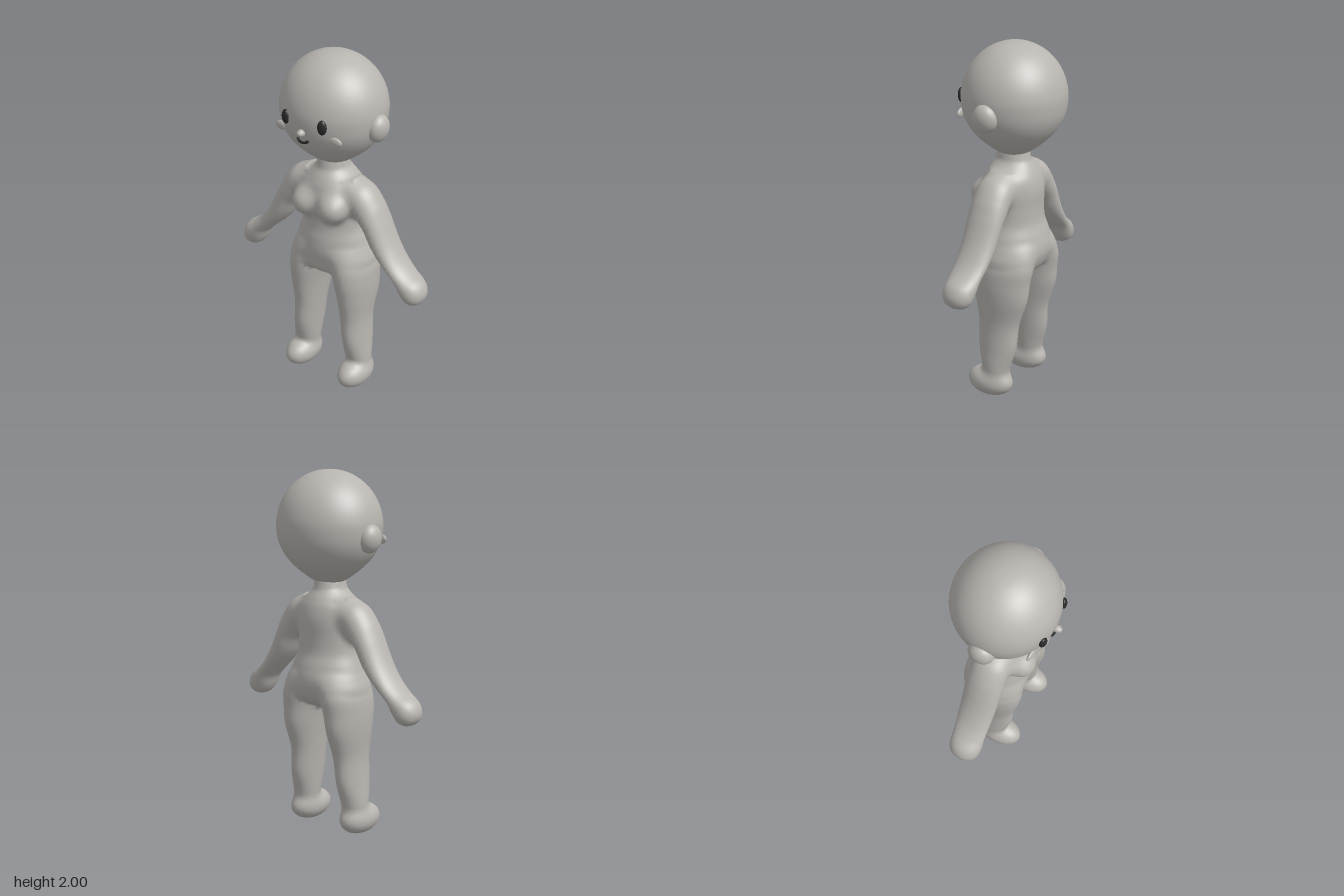
import * as THREE from 'three';

const skin = new THREE.MeshStandardMaterial({ color: 0xb8b5b0 });
skin.name = 'warm grey skin';
const dark = new THREE.MeshStandardMaterial({ color: 0x2a2a2a });
dark.name = 'dark features';

// Cross-sections: [position along axis, centre offset, half width, centre z, half depth]
const TORSO = [
  [0.71, 0, 0.05, -0.02, 0.07], [0.75, 0, 0.16, -0.02, 0.145], [0.82, 0, 0.23, -0.03, 0.175],
  [0.88, 0, 0.225, -0.03, 0.182], [0.95, 0, 0.205, -0.025, 0.172], [1.02, 0, 0.183, -0.02, 0.155],
  [1.1, 0, 0.18, -0.018, 0.152], [1.2, 0, 0.185, -0.012, 0.16], [1.27, 0, 0.18, -0.01, 0.148],
  [1.32, 0, 0.13, -0.01, 0.125], [1.36, 0, 0.09, -0.01, 0.1], [1.39, 0, 0.082, -0.01, 0.093],
  [1.46, 0, 0.07, -0.01, 0.08],
];
const LEG = [
  [0.08, 0.185, 0.06, -0.01, 0.07], [0.17, 0.182, 0.071, -0.008, 0.08], [0.3, 0.171, 0.073, -0.011, 0.112],
  [0.45, 0.16, 0.078, -0.015, 0.122], [0.6, 0.157, 0.095, -0.027, 0.157], [0.7, 0.15, 0.106, -0.025, 0.17],
  [0.8, 0.135, 0.112, -0.03, 0.176], [0.9, 0.1, 0.1, -0.03, 0.15], [0.97, 0.08, 0.03, -0.03, 0.06],
];
const ARM = [
  [-0.1, 0, 0.04, -0.01, 0.06], [-0.02, 0, 0.08, -0.01, 0.1], [0.08, 0.004, 0.08, -0.01, 0.105],
  [0.165, 0, 0.069, -0.01, 0.104], [0.25, -0.015, 0.065, -0.009, 0.102], [0.33, -0.021, 0.057, -0.008, 0.099],
  [0.42, -0.015, 0.047, -0.005, 0.095], [0.49, -0.004, 0.049, -0.002, 0.092], [0.56, 0.002, 0.068, 0, 0.091],
  [0.61, 0, 0.063, 0, 0.081], [0.643, 0, 0.038, 0, 0.052], [0.655, 0, 0.008, 0, 0.012],
];

// Smooth (Hermite) interpolation of one section from a list of sections
function sectionAt(rows, t) {
  let i = 0;
  while (i < rows.length - 2 && t > rows[i + 1][0]) i++;
  const a = rows[i], b = rows[i + 1];
  const p = rows[Math.max(i - 1, 0)], q = rows[Math.min(i + 2, rows.length - 1)];
  const h = b[0] - a[0], s = (t - a[0]) / h, s2 = s * s, s3 = s2 * s;
  return [1, 2, 3, 4].map((c) => {
    const ma = ((b[c] - p[c]) / (b[0] - p[0])) * h, mb = ((q[c] - a[c]) / (q[0] - a[0])) * h;
    return a[c] * (2 * s3 - 3 * s2 + 1) + ma * (s3 - 2 * s2 + s) + b[c] * (3 * s2 - 2 * s3) + mb * (s3 - s2);
  });
}

// Approximate signed distances for a capped tube of elliptical sections and for an ellipsoid
function limb(rows, t, n, z) {
  const start = rows[0][0], end = rows[rows.length - 1][0];
  const [cn, rn, cz, rz] = sectionAt(rows, Math.min(Math.max(t, start), end));
  const u = n - cn, w = z - cz;
  const k0 = Math.hypot(u / rn, w / rz), k1 = Math.hypot(u / (rn * rn), w / (rz * rz));
  const d = k1 < 1e-6 ? -Math.min(rn, rz) : (k0 * (k0 - 1)) / k1;
  return Math.max(d, start - t, t - end);
}
function blob(x, y, z, rx, ry, rz) {
  const k0 = Math.hypot(x / rx, y / ry, z / rz);
  const k1 = Math.hypot(x / (rx * rx), y / (ry * ry), z / (rz * rz));
  return k1 < 1e-6 ? -Math.min(rx, ry, rz) : (k0 * (k0 - 1)) / k1;
}
function blend(a, b, k) {
  const h = Math.max(k - Math.abs(a - b), 0) / k;
  return Math.min(a, b) - (h * h * k) / 4;
}

// Whole body: torso melted together with mirrored legs, feet, arms and chest
function bodyField(x, y, z) {
  let d = limb(TORSO, y, x, z);
  for (const side of [1, -1]) {
    const sx = x * side, ax = sx - 0.19, ay = y - 1.22;
    let leg = limb(LEG, y, sx, z);
    leg = blend(leg, blob(sx - 0.187, y - 0.087, z - 0.028, 0.086, 0.085, 0.137), 0.025);
    d = blend(d, leg, 0.04);
    d = blend(d, limb(ARM, 0.605 * ax - 0.796 * ay, 0.796 * ax + 0.605 * ay, z), 0.05);
    d = blend(d, blob(sx - 0.085, y - 1.165, z - 0.113, 0.08, 0.08, 0.083), 0.05);
  }
  return d;
}

// Skin a field with one vertex per boundary cell and quads between neighbouring cells
function skinField(field, min, max, step) {
  const size = min.map((m, a) => Math.ceil((max[a] - m) / step) + 1);
  const stride = [1, size[0], size[0] * size[1]];
  const values = new Float32Array(size[0] * size[1] * size[2]);
  const cells = new Int32Array(values.length);
  const positions = [], normals = [], index = [];
  const each = (fn) => {
    for (let k = 0; k < size[2]; k++) for (let j = 0; j < size[1]; j++) for (let i = 0; i < size[0]; i++) {
      fn([i, j, k], i + j * stride[1] + k * stride[2]);
    }
  };
  const gradient = (p) => [0, 1, 2].map((a) => {
    const hi = [...p], lo = [...p];
    hi[a] += 0.002;
    lo[a] -= 0.002;
    return (field(...hi) - field(...lo)) / 0.004;
  });
  each((c, id) => { values[id] = field(...c.map((v, a) => min[a] + v * step)); });

  // Vertices, pulled onto the surface
  each((c, id) => {
    if (c.some((v, a) => v >= size[a] - 1)) return;
    const sum = [0, 0, 0];
    let hits = 0;
    for (let a = 0; a < 3; a++) for (let m = 0; m < 4; m++) {
      const u = (a + 1) % 3, v = (a + 2) % 3, du = m & 1, dv = m >> 1;
      const n = id + du * stride[u] + dv * stride[v];
      const f0 = values[n], f1 = values[n + stride[a]];
      if ((f0 < 0) === (f1 < 0)) continue;
      sum[a] += f0 / (f0 - f1);
      sum[u] += du;
      sum[v] += dv;
      hits++;
    }
    if (!hits) return;
    const p = sum.map((s, a) => min[a] + (c[a] + s / hits) * step);
    for (let pass = 0; pass < 2; pass++) {
      const g = gradient(p), gg = Math.max(g[0] ** 2 + g[1] ** 2 + g[2] ** 2, 0.2);
      const move = Math.max(-0.005, Math.min(0.005, field(...p) / gg));
      for (let a = 0; a < 3; a++) p[a] -= Math.max(-0.005, Math.min(0.005, g[a] * move));
    }
    const g = gradient(p), len = Math.hypot(...g) || 1;
    cells[id] = positions.length / 3;
    positions.push(...p);
    normals.push(...g.map((v) => v / len));
  });

  // Faces across every grid edge that crosses the surface
  each((c, id) => {
    for (let a = 0; a < 3; a++) {
      const u = (a + 1) % 3, v = (a + 2) % 3;
      if (c[a] >= size[a] - 1 || c[u] < 1 || c[v] < 1) continue;
      const inside = values[id] < 0;
      if (inside === (values[id + stride[a]] < 0)) continue;
      const q = [id - stride[u] - stride[v], id - stride[v], id, id - stride[u]].map((n) => cells[n]);
      if (!inside) q.reverse();
      index.push(q[0], q[1], q[2], q[0], q[2], q[3]);
    }
  });
  const geometry = new THREE.BufferGeometry();
  geometry.setAttribute('position', new THREE.Float32BufferAttribute(positions, 3));
  geometry.setAttribute('normal', new THREE.Float32BufferAttribute(normals, 3));
  geometry.setIndex(index);
  return geometry;
}

export function createModel() {
  const model = new THREE.Group();
  model.name = 'figure';
  const add = (name, geometry, material) => {
    const mesh = new THREE.Mesh(geometry, material);
    mesh.name = name;
    model.add(mesh);
    return mesh;
  };
  const ball = new THREE.SphereGeometry(1, 32, 20);
  const ellipsoid = (name, material, position, radii, turn = [0, 0, 0]) => {
    const mesh = add(name, ball, material);
    mesh.position.set(...position);
    mesh.scale.set(...radii);
    mesh.rotation.set(...turn);
  };

  add('body', skinField(bodyField, [-0.66, -0.04, -0.28], [0.66, 1.52, 0.26], 0.02), skin);

  // Head: round skull tapering to a narrow chin
  const outline = [[0, 1.39], [0.075, 1.4], [0.14, 1.44], [0.2, 1.49], [0.25, 1.55], [0.282, 1.62]];
  for (let i = 0; i <= 8; i++) {
    const a = (i / 8) * Math.PI / 2;
    outline.push([0.293 * Math.cos(a), 1.7 + 0.3 * Math.sin(a)]);
  }
  const profile = new THREE.SplineCurve(outline.map((p) => new THREE.Vector2(...p))).getPoints(56);
  profile.forEach((p) => { p.x = Math.max(p.x, 0); });
  const head = add('head', new THREE.LatheGeometry(profile, 64), skin);
  head.scale.z = 0.96;
  head.position.z = -0.016;

  // Paired ears, eyes and cheeks
  for (const [side, s] of [['left', 1], ['right', -1]]) {
    ellipsoid(side + 'Ear', skin, [0.283 * s, 1.648, -0.01], [0.054, 0.077, 0.07], [0, 0, -0.1 * s]);
    ellipsoid(side + 'Eye', dark, [0.116 * s, 1.7, 0.245], [0.025, 0.04, 0.017], [0, 0.3 * s, 0]);
    ellipsoid(side + 'Cheek', skin, [0.174 * s, 1.622, 0.21], [0.038, 0.025, 0.012], [0, 0.1 * s, -0.1 * s]);
  }

  // Nose and smiling mouth
  ellipsoid('nose', skin, [0, 1.646, 0.267], [0.021, 0.02, 0.028]);
  const smile = new THREE.CatmullRomCurve3([[-0.036, 1.606, 0.25], [-0.02, 1.594, 0.256], [0, 1.59, 0.258],
    [0.02, 1.594, 0.256], [0.036, 1.606, 0.25]].map((p) => new THREE.Vector3(...p)));
  add('mouth', new THREE.TubeGeometry(smile, 24, 0.007, 8), dark);
  return model;
}
